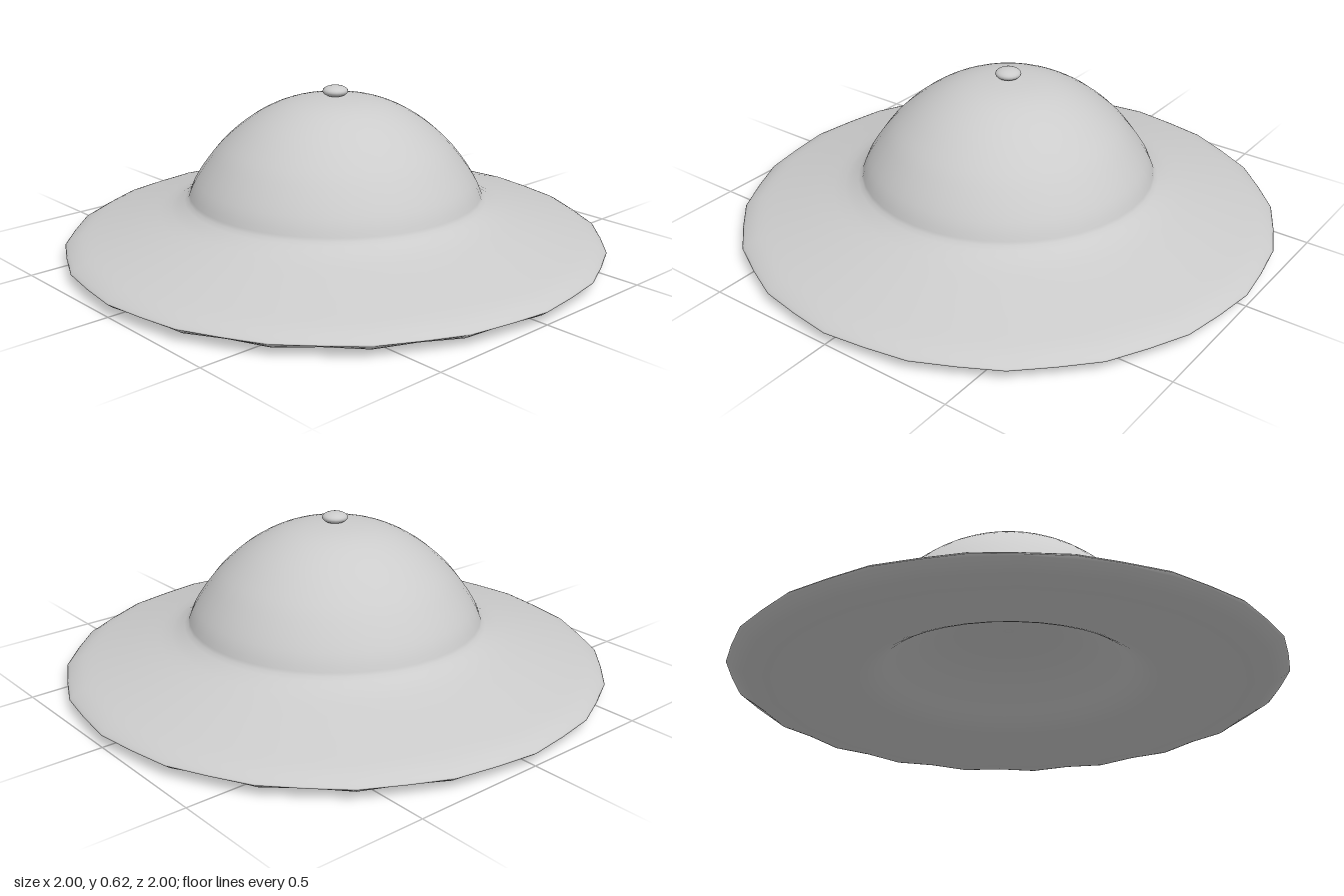
import * as THREE from 'three';

const SIDES = 40;

// Smooth curve through a few [radius, height] points
function smoothProfile(points, steps) {
  const curve = new THREE.SplineCurve(points.map(([r, y]) => new THREE.Vector2(r, y)));
  return curve.getPoints(steps).map((p) => new THREE.Vector2(Math.max(p.x, 0), p.y));
}

export function createModel() {
  const model = new THREE.Group();
  model.name = 'wideBrimHat';
  const material = new THREE.MeshStandardMaterial({ color: 0xcccccc });

  // Shell: shallow hollow underneath, rolled brim edge, brim top, then domed crown
  const underside = smoothProfile([
    [0, 0.255], [0.1, 0.25], [0.2, 0.23], [0.3, 0.19], [0.4, 0.13], [0.5, 0.062],
    [0.6, 0.035], [0.75, 0.014], [0.87, 0.006], [0.95, 0.018], [1, 0.05],
  ], 36);
  const brimTop = smoothProfile([
    [1, 0.05], [0.985, 0.063], [0.94, 0.085], [0.85, 0.11], [0.75, 0.137], [0.61, 0.178], [0.545, 0.217],
  ], 18);
  const crown = smoothProfile([
    [0.545, 0.217], [0.52, 0.275], [0.47, 0.35], [0.41, 0.42], [0.32, 0.495],
    [0.22, 0.55], [0.12, 0.578], [0, 0.588],
  ], 24);
  const shell = new THREE.LatheGeometry([...underside, ...brimTop.slice(1), ...crown.slice(1)], SIDES);

  // Every second spoke of the brim is drawn in and lifted a little, for a faintly scalloped edge
  const pos = shell.attributes.position;
  const rows = pos.count / (SIDES + 1);
  for (let i = 0; i < pos.count; i++) {
    if (Math.floor(i / rows) % 2 === 0) continue;
    const x = pos.getX(i), y = pos.getY(i), z = pos.getZ(i);
    const t = THREE.MathUtils.smoothstep(Math.hypot(x, z), 0.6, 1);
    const pull = 1 - 0.008 * t;
    const lift = y < 0.05 ? 0.007 * t : 0;
    pos.setXYZ(i, x * pull, y + lift, z * pull);
  }
  // Rest the lowest edge on the ground
  shell.computeBoundingBox();
  shell.translate(0, -shell.boundingBox.min.y, 0);
  const hat = new THREE.Mesh(shell, material);
  hat.name = 'crownAndBrim';
  model.add(hat);

  // Flattened button on top
  const button = new THREE.Mesh(new THREE.SphereGeometry(0.047, 20, 12), material);
  button.name = 'topButton';
  button.scale.y = 0.45;
  button.position.y = 0.598;
  model.add(button);

  return model;
}
